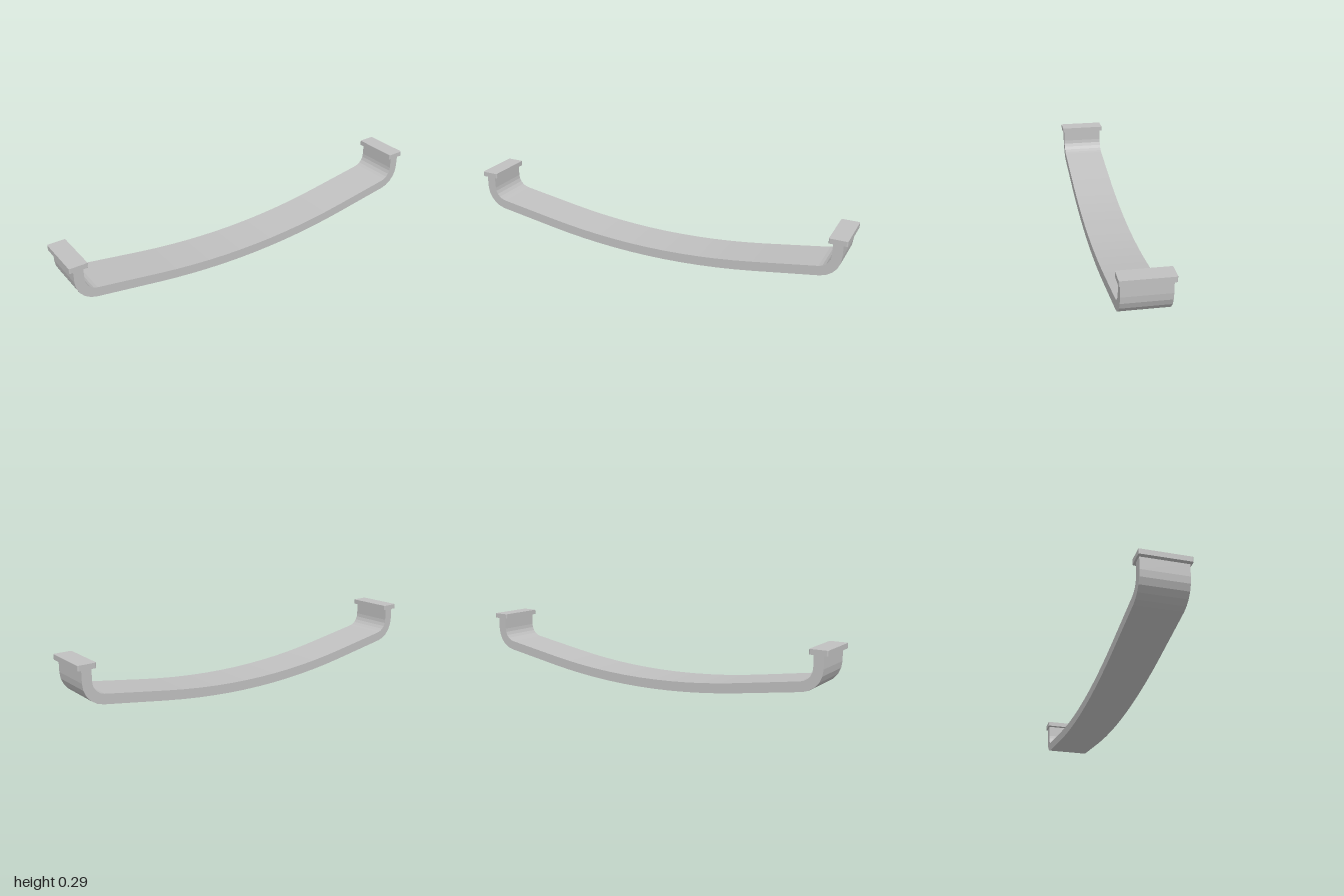
import * as THREE from 'three';

const WIDTH = 0.22;      // strap width along x
const THICK = 0.048;     // strap thickness
const R = 0.115;         // outer bend radius
const SLOPE = 0.16;      // slope of the straight run
const BOW = 0.566;       // half length of the curved middle

// One half of the strap edge, from the middle (z = 0) to the top of the leg,
// moved inwards by d from the outer face
function halfEdge(d) {
  const pts = [];
  for (let i = 0; i <= 6; i++) {
    const z = (BOW * i) / 6;
    const a = Math.atan((SLOPE * z) / BOW);
    pts.push(new THREE.Vector2(z - d * Math.sin(a), (SLOPE * z * z) / (2 * BOW) + d * Math.cos(a)));
  }
  const end = Math.PI / 2 - Math.atan(SLOPE);
  for (let i = 5; i >= 0; i--) {
    const a = (end * i) / 5;
    pts.push(new THREE.Vector2(0.865 + (R - d) * Math.cos(a), 0.21 - (R - d) * Math.sin(a)));
  }
  pts.push(new THREE.Vector2(0.98 - d, 0.272));
  return pts;
}

// Full edge from the back leg to the front leg
function fullEdge(d) {
  const half = halfEdge(d);
  const mirrored = half.slice(1).reverse().map(p => new THREE.Vector2(-p.x, p.y));
  return [...mirrored, ...half];
}

// Rectangle with small rounded corners
function roundedRect(w, h, r) {
  const s = new THREE.Shape();
  const x = w / 2, y = h / 2;
  s.absarc(x - r, y - r, r, 0, Math.PI / 2);
  s.absarc(-x + r, y - r, r, Math.PI / 2, Math.PI);
  s.absarc(-x + r, -y + r, r, Math.PI, Math.PI * 1.5);
  s.absarc(x - r, -y + r, r, Math.PI * 1.5, Math.PI * 2);
  return s;
}

export function createModel() {
  const group = new THREE.Group();
  group.name = 'pullHandle';
  const metal = new THREE.MeshStandardMaterial({ color: 0xc0c0c0 });
  metal.name = 'grey metal';

  // Bowed strap with bent legs
  const profile = new THREE.Shape([...fullEdge(0), ...fullEdge(THICK).reverse()]);
  const strapGeo = new THREE.ExtrudeGeometry(profile, { depth: WIDTH, bevelEnabled: false });
  strapGeo.translate(0, 0, -WIDTH / 2);
  strapGeo.rotateY(-Math.PI / 2);
  const strap = new THREE.Mesh(strapGeo, metal);
  strap.name = 'strap';
  group.add(strap);

  // Mounting plates capping both legs
  const plateGeo = new THREE.ExtrudeGeometry(roundedRect(0.238, 0.088, 0.006), {
    depth: 0.025, bevelEnabled: false, curveSegments: 3,
  });
  plateGeo.rotateX(-Math.PI / 2);
  for (const side of [1, -1]) {
    const plate = new THREE.Mesh(plateGeo, metal);
    plate.name = side > 0 ? 'frontMountingPlate' : 'backMountingPlate';
    plate.position.set(0, 0.27, side * 0.956);
    group.add(plate);
  }
  return group;
}
